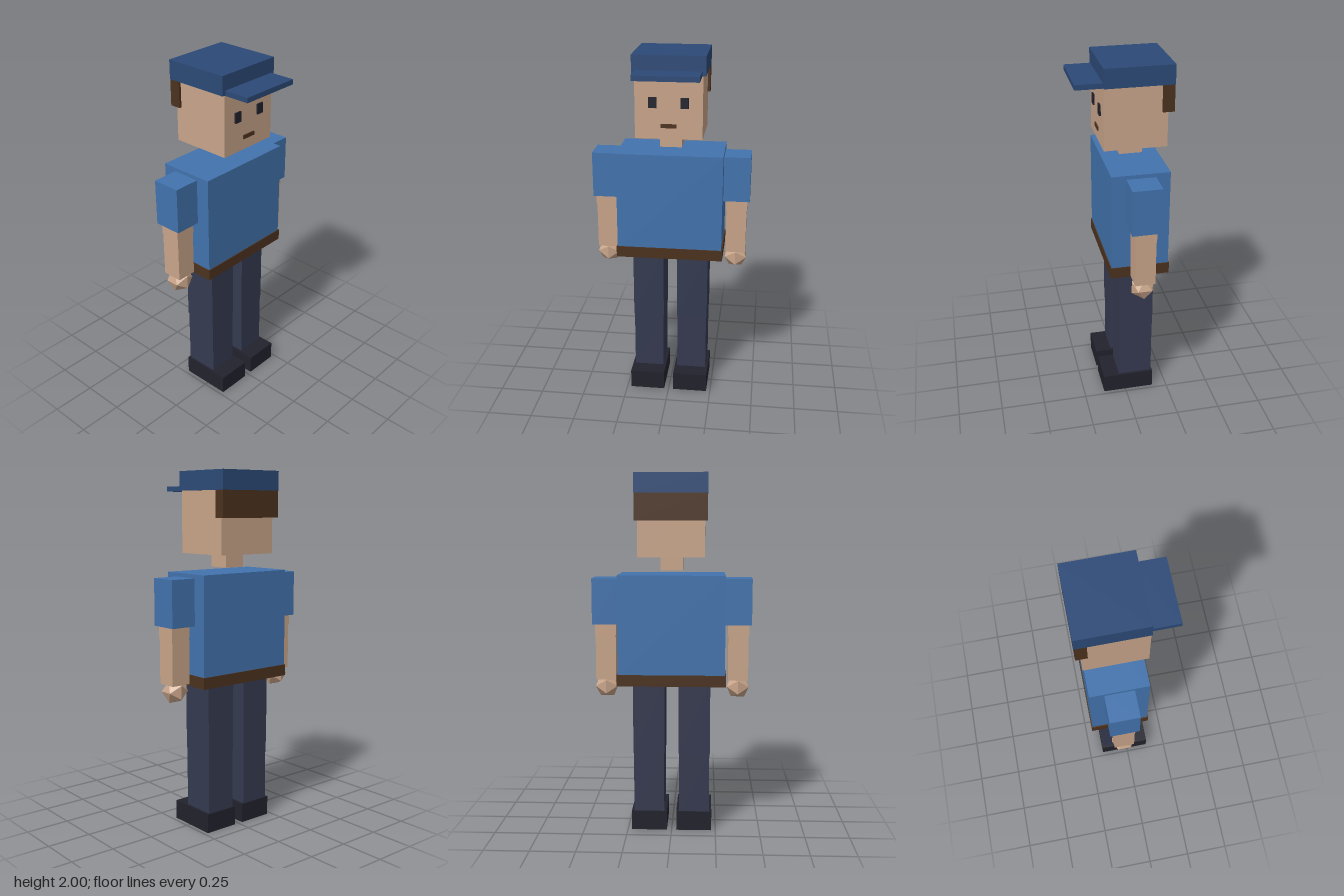
import * as THREE from 'three';

const mat = (name, color) => {
  const m = new THREE.MeshStandardMaterial({ color });
  m.name = name;
  return m;
};

export function createModel() {
  const model = new THREE.Group();
  model.name = 'figure';
  const skin = mat('skin', 0xc9a58a);
  const shirt = mat('shirt blue', 0x4273ae);
  const navy = mat('cap navy', 0x2c4a77);
  const brown = mat('dark brown', 0x4c321e);
  const slate = mat('trouser slate', 0x353a50);
  const dark = mat('near black', 0x22222d);

  // Box given by its lowest and highest corners
  const box = (name, material, [x0, x1], [y0, y1], [z0, z1]) => {
    const mesh = new THREE.Mesh(new THREE.BoxGeometry(x1 - x0, y1 - y0, z1 - z0), material);
    mesh.position.set((x0 + x1) / 2, (y0 + y1) / 2, (z0 + z1) / 2);
    mesh.name = name;
    model.add(mesh);
    return mesh;
  };
  // The same box on the left (+x) and the right (-x)
  const pair = (name, material, [x0, x1], y, z) => {
    box(name + 'Left', material, [x0, x1], y, z);
    box(name + 'Right', material, [-x1, -x0], y, z);
  };

  // Head and face
  box('head', skin, [-0.182, 0.182], [1.555, 1.91], [-0.228, 0.112]);
  box('neck', skin, [-0.061, 0.061], [1.48, 1.57], [-0.122, 0.005]);
  pair('eye', dark, [0.064, 0.107], [1.723, 1.78], [0.112, 0.121]);
  box('mouth', brown, [-0.042, 0.042], [1.616, 1.637], [0.112, 0.119]);

  // Hair and cap
  box('hair', brown, [-0.196, 0.196], [1.75, 1.897], [-0.258, -0.196]);
  box('cap', navy, [-0.197, 0.197], [1.895, 2], [-0.259, 0.113]);
  box('capBrim', navy, [-0.176, 0.176], [1.892, 1.92], [0.1, 0.258]);

  // Torso
  box('torso', shirt, [-0.295, 0.295], [0.9, 1.457], [-0.22, 0.097]);
  box('belt', brown, [-0.301, 0.301], [0.848, 0.911], [-0.225, 0.102]);

  // Arms and hands
  pair('sleeve', shirt, [0.29, 0.443], [1.18, 1.436], [-0.142, 0.018]);
  pair('upperArm', skin, [0.312, 0.43], [1.12, 1.2], [-0.119, -0.002]);
  pair('forearm', skin, [0.314, 0.427], [0.864, 1.12], [-0.117, -0.004]);
  for (const side of [1, -1]) {
    const hand = new THREE.Mesh(new THREE.IcosahedronGeometry(0.072, 0), skin);
    hand.position.set(side * 0.371, 0.824, -0.06);
    hand.name = side > 0 ? 'handLeft' : 'handRight';
    model.add(hand);
  }

  // Legs and shoes
  pair('thigh', slate, [0.039, 0.216], [0.45, 0.87], [-0.16, 0.04]);
  pair('shin', slate, [0.042, 0.213], [0.1, 0.45], [-0.158, 0.038]);
  pair('shoe', dark, [0.027, 0.227], [0, 0.11], [-0.165, 0.131]);

  return model;
}
